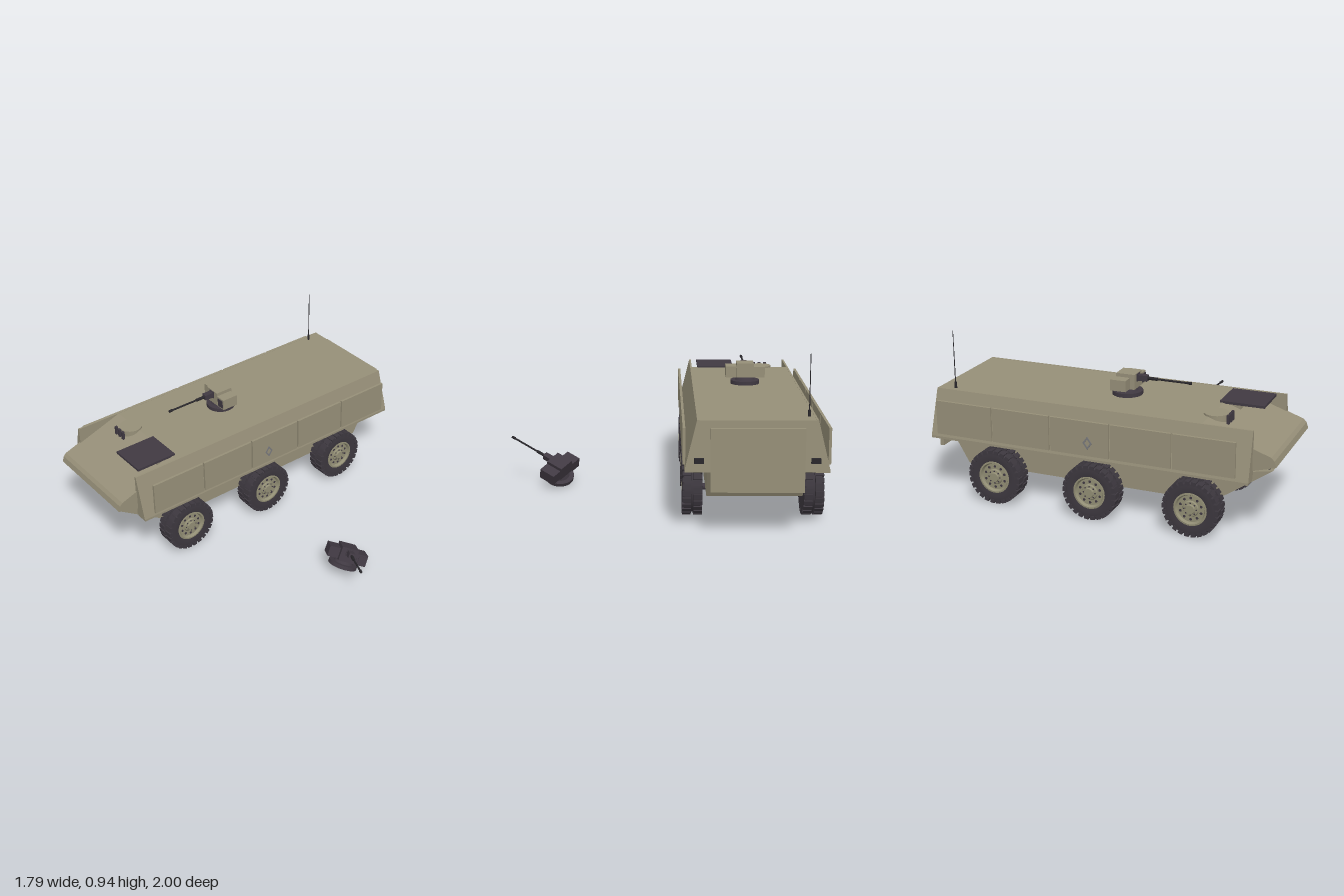
import * as THREE from 'three';
import { mergeGeometries, toCreasedNormals } from 'three/addons/utils/BufferGeometryUtils.js';

const mat = (name, color) => Object.assign(new THREE.MeshStandardMaterial({ color }), { name });

export function createModel() {
  const olive = mat('olive paint', 0x968f78);
  const rimPaint = mat('rim paint', 0x918d74);
  const rubber = mat('tyre rubber', 0x3c373e);
  const dark = mat('dark metal', 0x403942);
  const black = mat('black steel', 0x29272b);
  const grey = mat('marking grey', 0x77777a);

  const model = new THREE.Group();
  model.name = 'armouredCarrier';
  const vehicle = new THREE.Group();
  vehicle.name = 'vehicle';
  vehicle.position.x = -0.51;
  model.add(vehicle);

  const add = (parent, name, geo, material, x = 0, y = 0, z = 0) => {
    const m = new THREE.Mesh(geo, material);
    m.name = name;
    m.position.set(x, y, z);
    parent.add(m);
    return m;
  };
  const box = (p, name, m, w, h, d, x, y, z) => add(p, name, new THREE.BoxGeometry(w, h, d), m, x, y, z);
  const shapeOf = pts => new THREE.Shape(pts.map(p => new THREE.Vector2(...p)));
  // extrude a (z, y) side profile across the given width
  const sideExtrude = (pts, width) => {
    const g = new THREE.ExtrudeGeometry(shapeOf(pts), { depth: width, bevelEnabled: false });
    return g.translate(0, 0, -width / 2).rotateY(-Math.PI / 2);
  };
  // a lathe whose axis lies along x
  const latheX = (pts, n = 40) => toCreasedNormals(
    new THREE.LatheGeometry(pts.map(p => new THREE.Vector2(...p)), n).rotateZ(-Math.PI / 2), 0.5);

  // hull body
  add(vehicle, 'upperHull', sideExtrude([
    [-0.97, 0.34], [0.69, 0.34], [1.0, 0.43], [0.99, 0.462], [0.973, 0.48],
    [0.6, 0.61], [-0.955, 0.61]], 0.62), olive);
  add(vehicle, 'lowerHull', sideExtrude([
    [-0.807, 0.165], [0.645, 0.165], [0.967, 0.385], [0.68, 0.335], [-0.91, 0.342]], 0.51), olive);

  // sloped side sponsons, sill, armour plates and markings
  for (const s of [-1, 1]) {
    const g = new THREE.ExtrudeGeometry(
      shapeOf([[s * 0.3, 0.35], [s * 0.375, 0.35], [s * 0.311, 0.611], [s * 0.3, 0.611]]),
      { depth: 1.83, bevelEnabled: false }).translate(0, 0, -0.955);
    const p = g.attributes.position;
    for (let i = 0; i < p.count; i++)
      if (p.getZ(i) < 0) p.setZ(i, -0.955 - (0.61 - p.getY(i)) * 0.055);
    g.computeVertexNormals();
    add(vehicle, 'sideSponson', g, olive);
    box(vehicle, 'sill', olive, 0.075, 0.014, 1.84, s * 0.337, 0.344, -0.048);
    for (let i = 0; i < 5; i++)
      box(vehicle, 'armourPlate', olive, 0.014, 0.193, 0.338, s * 0.377, 0.466, 0.637 - i * 0.348);
    const diamond = shapeOf([[-0.027, 0], [0, -0.037], [0.027, 0], [0, 0.037]]);
    diamond.holes.push(new THREE.Path([[-0.016, 0], [0, 0.022], [0.016, 0], [0, -0.022]].map(q => new THREE.Vector2(...q))));
    const d = new THREE.ExtrudeGeometry(diamond, { depth: 0.003, bevelEnabled: false });
    add(vehicle, 'sideMarking', d, grey, s * 0.384, 0.443, -0.01).rotation.y = s * Math.PI / 2;
    // lights
    box(vehicle, 'headlight', black, 0.024, 0.014, 0.012, s * 0.27, 0.412, 0.955);
    box(vehicle, 'rearLight', black, 0.05, 0.028, 0.018, s * 0.3, 0.4, -0.972);
  }

  // rear ramp
  box(vehicle, 'rearRamp', olive, 0.485, 0.335, 0.022, 0, 0.407, -0.989);
  box(vehicle, 'rampMount', olive, 0.42, 0.2, 0.03, 0, 0.46, -0.968);

  // roof hatches and periscopes
  box(vehicle, 'engineHatch', dark, 0.225, 0.014, 0.25, 0.153, 0.613, 0.703);
  box(vehicle, 'engineHatchFrame', olive, 0.19, 0.03, 0.1, 0.153, 0.592, 0.64);
  add(vehicle, 'driverHatch', new THREE.CylinderGeometry(0.067, 0.067, 0.04, 32), olive, -0.135, 0.6, 0.62);
  for (const x of [-0.17, -0.135, -0.1])
    box(vehicle, 'periscope', dark, 0.018, 0.05, 0.014, x, 0.6, 0.697);

  // antenna
  add(vehicle, 'antennaBase', new THREE.CylinderGeometry(0.007, 0.008, 0.035, 10), black, -0.273, 0.627, -0.86);
  add(vehicle, 'antennaWhip', new THREE.CylinderGeometry(0.002, 0.003, 0.3, 6), black, -0.273, 0.79, -0.86);

  // wheels: lathed tyre, two rows of lugs, dished rim with bolts
  const half = [[0.149, 0.006], [0.149, 0.042], [0.142, 0.051], [0.12, 0.055], [0.092, 0.05], [0.088, 0.03], [0, 0.03]];
  const tyreGeo = latheX([[0, -0.045], [0.09, -0.047], [0.12, -0.055], [0.142, -0.051], [0.149, -0.042],
    [0.149, -0.006], [0.14, -0.005], [0.14, 0.005], ...half]);
  const lugs = [];
  for (const s of [-1, 1])
    for (let i = 0; i < 26; i++)
      lugs.push(new THREE.BoxGeometry(0.047, 0.022, 0.025).translate(s * 0.0305, 0.1445, 0)
        .rotateX((i + (s > 0 ? 0.5 : 0)) * Math.PI / 13));
  const lugGeo = mergeGeometries(lugs);
  const rimGeo = latheX([[0.092, 0.03], [0.092, 0.052], [0.083, 0.053], [0.075, 0.038], [0.045, 0.038],
    [0.04, 0.046], [0.028, 0.047], [0.024, 0.056], [0, 0.056]]);
  const ringOf = (n, r, size, x) => mergeGeometries(Array.from({ length: n }, (_, i) =>
    new THREE.CylinderGeometry(size, size, 0.008, 8).rotateZ(Math.PI / 2)
      .translate(x, r, 0).rotateX(i * 2 * Math.PI / n)));
  const holeGeo = ringOf(10, 0.06, 0.0075, 0.036);
  const boltGeo = ringOf(8, 0.034, 0.004, 0.046);
  for (const z of [0.566, -0.008, -0.582]) {
    add(vehicle, 'axle', new THREE.CylinderGeometry(0.018, 0.018, 0.56, 14).rotateZ(Math.PI / 2), dark, 0, 0.155, z);
    for (const s of [-1, 1]) {
      const wheel = new THREE.Group();
      wheel.name = 'wheel';
      wheel.position.set(s * 0.327, 0.157, z);
      wheel.rotation.y = s > 0 ? 0 : Math.PI;
      add(wheel, 'tyre', tyreGeo, rubber);
      add(wheel, 'treadLugs', lugGeo, rubber);
      add(wheel, 'rim', rimGeo, rimPaint);
      add(wheel, 'rimHoles', holeGeo, dark);
      add(wheel, 'hubBolts', boltGeo, dark);
      vehicle.add(wheel);
    }
  }

  // remote gun station, origin at the centre of its base ring, gun along +z
  const gunStation = (name, body, trim, barrel) => {
    const g = new THREE.Group();
    g.name = name;
    add(g, 'baseRing', new THREE.CylinderGeometry(0.085, 0.085, 0.022, 36), trim, 0, 0.011, 0);
    add(g, 'pedestal', new THREE.CylinderGeometry(0.045, 0.06, 0.025, 24), trim, 0, 0.032, 0);
    box(g, 'gunHousing', body, 0.1, 0.085, 0.107, 0, 0.083, 0.007);
    box(g, 'ammoBox', body, 0.063, 0.062, 0.09, -0.082, 0.075, -0.01);
    box(g, 'sightBox', body, 0.063, 0.066, 0.1, 0.082, 0.073, 0.01);
    box(g, 'sightWindow', trim, 0.045, 0.048, 0.006, 0.084, 0.073, 0.061);
    box(g, 'mantletPlate', trim, 0.042, 0.042, 0.006, 0, 0.1, 0.062);
    box(g, 'gunCradle', trim, 0.034, 0.032, 0.06, 0, 0.1, 0.09);
    const tube = (n, r, len, z) =>
      add(g, n, new THREE.CylinderGeometry(r, r, len, 12).rotateX(Math.PI / 2), barrel, 0, 0.1, z);
    tube('barrelSleeve', 0.009, 0.06, 0.145);
    tube('barrel', 0.0055, 0.24, 0.235);
    tube('muzzle', 0.008, 0.022, 0.36);
    return g;
  };
  const roofGun = gunStation('roofGunStation', olive, dark, black);
  roofGun.position.set(0, 0.61, 0.06);
  vehicle.add(roofGun);

  // spare gun station lying tilted beside the vehicle
  const spare = gunStation('spareGunStation', dark, dark, black);
  const forward = new THREE.Vector3(0.814, 0.345, 0.465).normalize();
  const side = new THREE.Vector3(-0.105, 0.87, -0.47).cross(forward).normalize();
  const up = forward.clone().cross(side);
  spare.quaternion.setFromRotationMatrix(new THREE.Matrix4().makeBasis(side, up, forward));
  spare.position.set(0.594, 0.045, 0.018);
  model.add(spare);

  return model;
}
